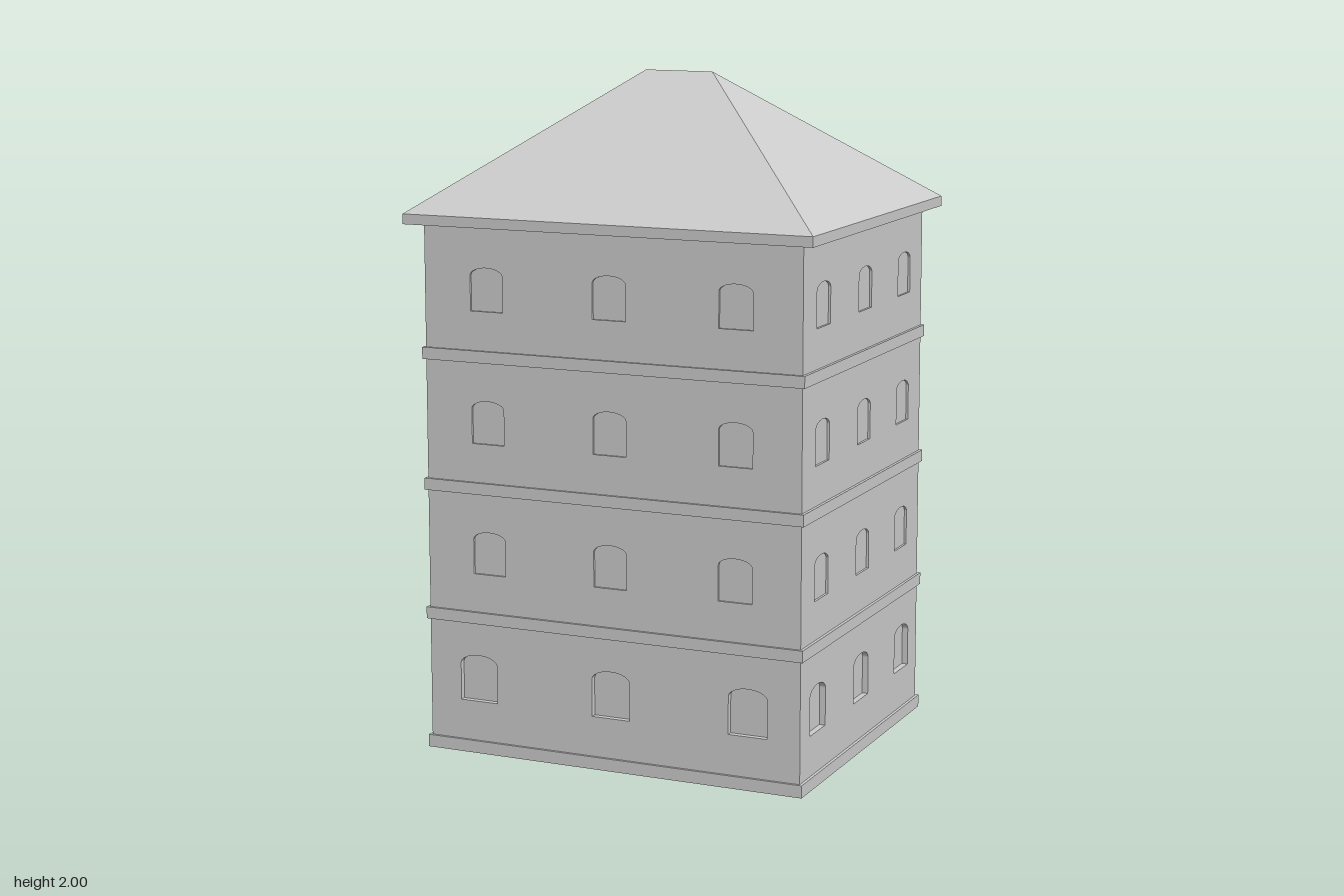
import * as THREE from 'three';
import { ConvexGeometry } from 'three/addons/geometries/ConvexGeometry.js';

const CZ = 0.05;              // the block sits slightly forward of the entrance steps
const HX = 0.59, HZ = 0.485;  // half width and half depth of the walls
const T = 0.02;               // wall thickness
const EAVE = 1.575, FLOOR = 0.39;
const grey = new THREE.MeshStandardMaterial({ color: 0xcccccc, side: THREE.DoubleSide });

function add(parent, name, geometry, x = 0, y = 0, z = 0) {
  const mesh = new THREE.Mesh(geometry, grey);
  mesh.name = name;
  mesh.position.set(x, y, z);
  parent.add(mesh);
  return mesh;
}

function block(parent, name, x0, x1, y0, y1, z0, z1) {
  return add(parent, name, new THREE.BoxGeometry(x1 - x0, y1 - y0, z1 - z0),
    (x0 + x1) / 2, (y0 + y1) / 2, (z0 + z1) / 2);
}

function rectangle(path, hx, y0, y1) {
  path.moveTo(-hx, y0);
  path.lineTo(hx, y0);
  path.lineTo(hx, y1);
  path.lineTo(-hx, y1);
  path.closePath();
  return path;
}

// Opening with straight jambs and a flattened arch
function arch(path, o) {
  path.moveTo(o.x - o.hw, o.bottom);
  path.lineTo(o.x + o.hw, o.bottom);
  path.lineTo(o.x + o.hw, o.spring);
  path.absellipse(o.x, o.spring, o.hw, o.top - o.spring, 0, Math.PI, false, 0);
  path.closePath();
  return path;
}

// One facade with pierced wall and recessed panes; local +z faces outward
function facade(name, halfWidth, openings) {
  const side = new THREE.Group();
  side.name = name;
  const shape = rectangle(new THREE.Shape(), halfWidth, 0.003, EAVE);
  for (const o of openings) shape.holes.push(arch(new THREE.Path(), o));
  add(side, 'wall', new THREE.ExtrudeGeometry(shape, { depth: T, bevelEnabled: false, curveSegments: 12 }), 0, 0, -T);
  for (const o of openings) {
    const pane = new THREE.ExtrudeGeometry(arch(new THREE.Shape(), o),
      { depth: 0.006, bevelEnabled: false, curveSegments: 12 });
    add(side, o.name, pane, 0, 0, -o.inset - 0.006);
  }
  return side;
}

function groundWindow(x, hw = 0.06, top = 0.30) {
  return { name: 'groundWindow', x, hw, bottom: 0.16, spring: 0.272, top, inset: 0.018 };
}

function upperWindows(spacing) {
  const list = [];
  for (let f = 1; f <= 3; f++) {
    for (const i of [-1, 0, 1]) {
      const y = f * FLOOR;
      list.push({ name: 'upperWindow', x: i * spacing, hw: 0.052, bottom: 0.158 + y,
        spring: 0.262 + y, top: 0.285 + y, inset: 0.007 });
    }
  }
  return list;
}

// Horizontal moulding running round the whole block
function band(parent, name, y0, y1) {
  const ring = rectangle(new THREE.Shape(), HX + 0.009, -HZ - 0.008, HZ + 0.008);
  ring.holes.push(rectangle(new THREE.Path(), HX - T, -HZ + T, HZ - T));
  const g = new THREE.ExtrudeGeometry(ring, { depth: y1 - y0, bevelEnabled: false });
  g.rotateX(-Math.PI / 2);
  add(parent, name, g, 0, y0, CZ);
}

// Square bar between two points in a plane of constant x
function bar(parent, name, x, y0, z0, y1, z1, size) {
  const length = Math.hypot(y1 - y0, z1 - z0);
  const mesh = add(parent, name, new THREE.BoxGeometry(size, size, length), x, (y0 + y1) / 2, (z0 + z1) / 2);
  mesh.rotation.x = -Math.atan2(y1 - y0, z1 - z0);
}

function entranceSteps() {
  const steps = new THREE.Group();
  steps.name = 'entranceSteps';
  block(steps, 'landing', -0.135, 0.135, 0, 0.035, -0.55, -0.43);
  block(steps, 'middleStep', -0.135, 0.135, 0, 0.023, -0.565, -0.55);
  block(steps, 'lowerStep', -0.135, 0.135, 0, 0.011, -0.58, -0.565);
  for (const x of [-0.131, 0.131]) {
    const rail = new THREE.Group();
    rail.name = 'railing';
    bar(rail, 'handrail', x, 0.087, -0.44, 0.087, -0.545, 0.006);
    bar(rail, 'slopingHandrail', x, 0.087, -0.545, 0.064, -0.576, 0.006);
    bar(rail, 'bottomRail', x, 0.042, -0.44, 0.042, -0.545, 0.005);
    bar(rail, 'slopingBottomRail', x, 0.042, -0.545, 0.02, -0.576, 0.005);
    for (let i = 0; i < 6; i++) {
      const z = -0.443 - i * 0.0204;
      block(rail, 'baluster', x - 0.002, x + 0.002, 0.035, 0.087, z - 0.002, z + 0.002);
    }
    block(rail, 'newelPost', x - 0.003, x + 0.003, 0.011, 0.066, -0.579, -0.573);
    steps.add(rail);
  }
  return steps;
}

export function createModel() {
  const model = new THREE.Group();
  model.name = 'towerHouse';

  // Facades
  const ground = (s) => [-s, 0, s].map((x) => groundWindow(x));
  const front = facade('frontFacade', HX, [...ground(0.43), ...upperWindows(0.39)]);
  front.position.set(0, 0, CZ + HZ);
  const door = { name: 'door', x: 0, hw: 0.13, bottom: 0.04, spring: 0.305, top: 0.365, inset: 0.018 };
  const back = facade('backFacade', HX,
    [groundWindow(-0.36, 0.122, 0.31), groundWindow(0.36, 0.122, 0.31), door, ...upperWindows(0.39)]);
  back.rotation.y = Math.PI;
  back.position.set(0, 0, CZ - HZ);
  model.add(front, back);
  for (const s of [-1, 1]) {
    const side = facade(s > 0 ? 'leftFacade' : 'rightFacade', HZ, [...ground(0.35), ...upperWindows(0.33)]);
    side.rotation.y = s * Math.PI / 2;
    side.position.set(s * HX, 0, CZ);
    model.add(side);
  }

  // Plinth and floor mouldings
  band(model, 'plinth', 0.003, 0.04);
  for (let f = 1; f <= 3; f++) band(model, 'floorBand', 0.008 + f * FLOOR, 0.043 + f * FLOOR);

  // Eaves and hipped roof
  const ex = 0.635, ez = 0.53, ey = 1.605;
  block(model, 'eaves', -ex, ex, EAVE, ey, CZ - ez, CZ + ez);
  const points = [];
  for (const s of [-1, 1]) {
    points.push(new THREE.Vector3(s * 0.106, 2, CZ));
    for (const t of [-1, 1]) points.push(new THREE.Vector3(s * ex, ey, CZ + t * ez));
  }
  add(model, 'roof', new ConvexGeometry(points));

  model.add(entranceSteps());
  return model;
}
